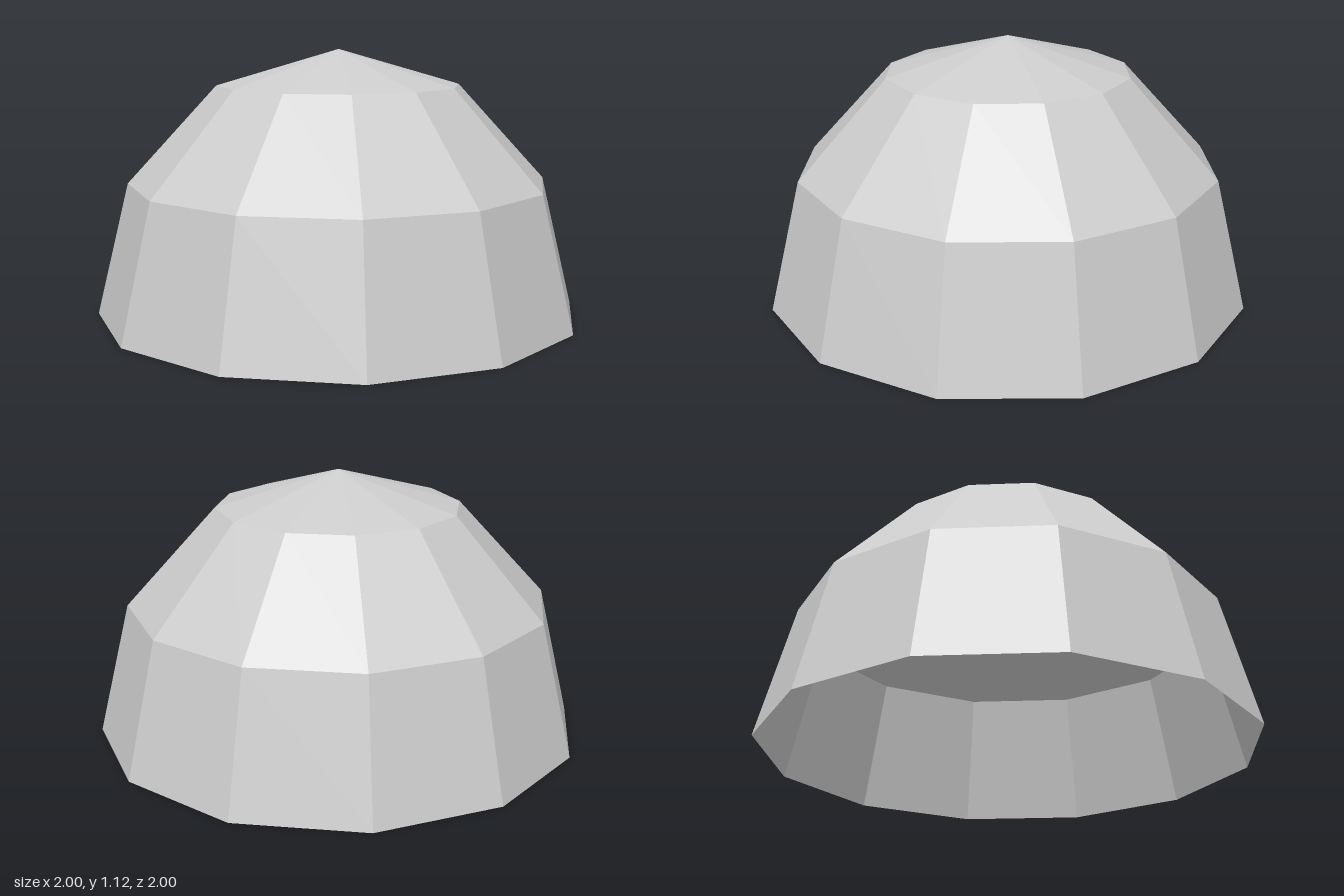
import * as THREE from 'three';

export function createModel() {
  const group = new THREE.Group();
  group.name = 'dome';

  const paleGrey = new THREE.MeshStandardMaterial({
    name: 'paleGrey',
    color: 0xcccccc,
    flatShading: true,
    side: THREE.DoubleSide,
  });

  // Open twelve-sided half sphere in three tiers, with a flat side facing front
  const sides = 12;
  const radius = 1 / Math.cos(Math.PI / sides);
  const shell = new THREE.SphereGeometry(1, sides, 3, 0, Math.PI * 2, 0, Math.PI / 2);
  shell.rotateY(Math.PI / sides);
  shell.scale(radius, 1.125, radius);

  const dome = new THREE.Mesh(shell, paleGrey);
  dome.name = 'domeShell';
  group.add(dome);
  return group;
}
